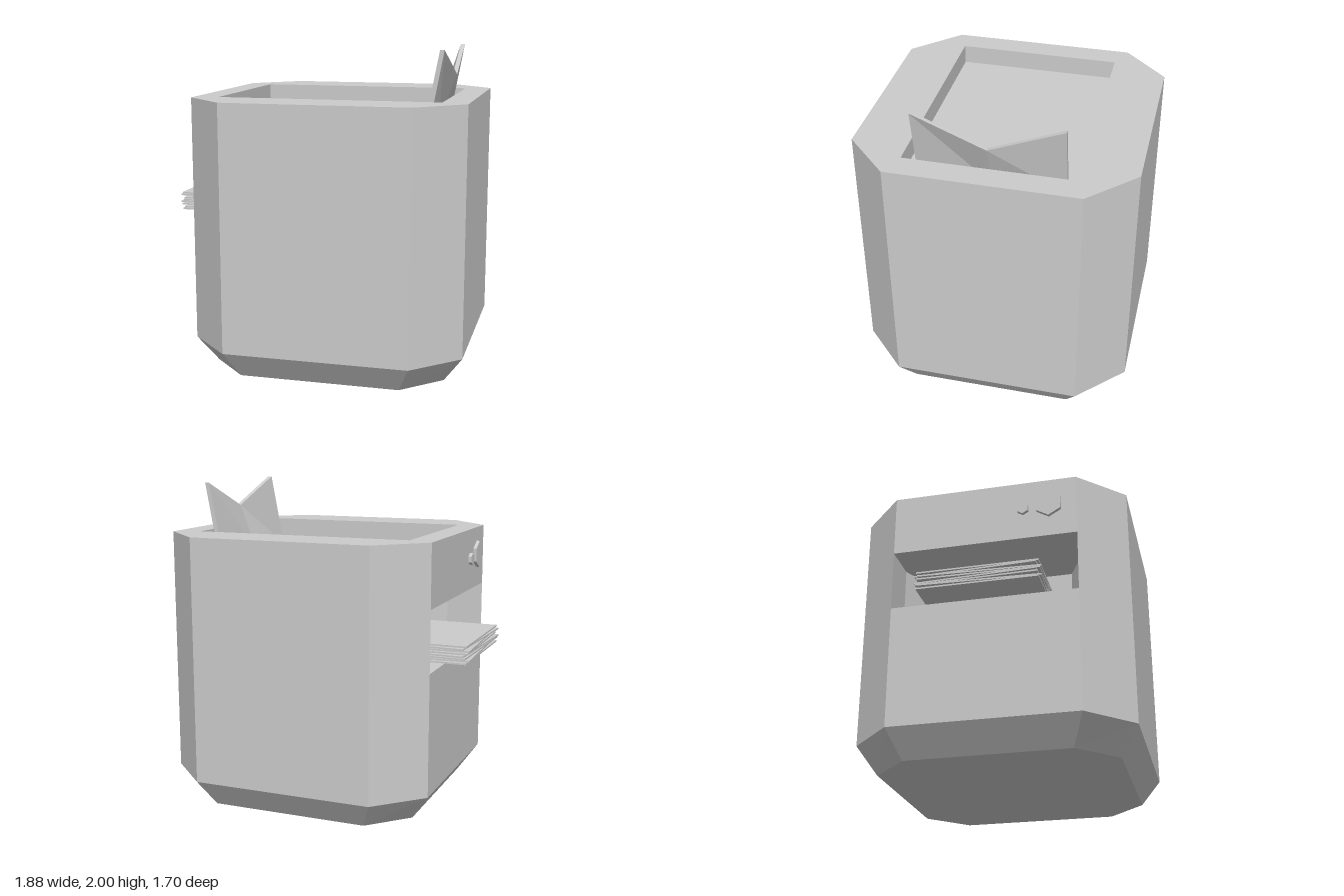
import * as THREE from 'three';

const material = new THREE.MeshStandardMaterial({ color: 0xcccccc, flatShading: true });

function add(group, name, geometry) {
  const mesh = new THREE.Mesh(geometry, material);
  mesh.name = name;
  group.add(mesh);
  return mesh;
}

// Closed solid from a stack of loops with equal point counts
function loft(loops) {
  const pos = [];
  const tri = (...pts) => pts.forEach((p) => pos.push(...p));
  const n = loops[0].length;
  for (let i = 0; i < loops.length - 1; i++) {
    for (let j = 0; j < n; j++) {
      const k = (j + 1) % n;
      const [a, b, c, d] = [loops[i][j], loops[i][k], loops[i + 1][k], loops[i + 1][j]];
      tri(a, b, c);
      tri(a, c, d);
    }
  }
  const first = loops[0], last = loops[loops.length - 1];
  for (let j = 1; j < n - 1; j++) {
    tri(first[0], first[j + 1], first[j]);
    tri(last[0], last[j], last[j + 1]);
  }
  const g = new THREE.BufferGeometry();
  g.setAttribute('position', new THREE.Float32BufferAttribute(pos, 3));
  g.computeVertexNormals();
  return g;
}

// Horizontal slab between two heights, outline given in plan
function slab(outline, y0, y1, hole) {
  const toVec = (pts) => pts.map(([x, z]) => new THREE.Vector2(x, z));
  const shape = new THREE.Shape(toVec(outline));
  if (hole) shape.holes.push(new THREE.Path(toVec(hole)));
  return new THREE.ExtrudeGeometry(shape, { depth: y1 - y0, bevelEnabled: false })
    .rotateX(-Math.PI / 2).translate(0, y0, 0);
}

const rect = (x0, x1, z) => [[x0, -z], [x1, -z], [x1, z], [x0, z]];

// Rectangle with cut corners; notch points are inserted in the -x side
const octagon = (x0, x1, cx0, cx1, z, cz, notch = []) => [
  [x1, -cz], [x1, cz], [cx1, z], [cx0, z], [x0, cz], ...notch, [x0, -cz], [cx0, -z], [cx1, -z],
];

export function createModel() {
  const model = new THREE.Group();
  model.name = 'printer';

  // Housing: tapered foot, lower block, block with the tray opening, top and rim
  const housing = new THREE.Group();
  housing.name = 'housing';
  model.add(housing);
  const plan = [-0.76, 0.94, -0.485, 0.66, 0.85, 0.575];
  const outer = octagon(...plan);
  const foot = octagon(-0.64, 0.82, -0.41, 0.585, 0.735, 0.5);
  const atHeight = (pts, y) => pts.map(([x, z]) => [x, y, -z]);
  const notch = [[-0.52, 0.575], [-0.25, 0.45], [-0.25, -0.45], [-0.52, -0.575]];
  add(housing, 'foot', loft([atHeight(foot, 0), atHeight(outer, 0.17)]));
  add(housing, 'lowerBody', slab(outer, 0.17, 0.93));
  add(housing, 'trayOpening', slab(octagon(...plan, notch), 0.93, 1.31));
  add(housing, 'upperBody', slab(outer, 1.31, 1.53, rect(0.3, 0.66, 0.44)));
  add(housing, 'rim', slab(outer, 1.53, 1.7, rect(-0.605, 0.78, 0.51)));

  // Sunken top with a V-shaped feed opening, and the slope below it
  add(housing, 'topPanel', slab(
    [[-0.605, -0.51], [0.66, -0.51], [0.4, 0], [0.66, 0.51], [-0.605, 0.51]], 1.53, 1.58));
  add(housing, 'feedSlope', loft([-0.44, 0.44].map((z) => [
    [0.3, 1.31, z], [0.66, 1.31, z], [0.66, 1.53, z]])));

  // Creased paper support with a V-shaped top edge
  const support = (z, xBottom, xTop, yTop) => [
    [xBottom, 1.53, z], [xBottom + 0.03, 1.53, z], [xTop + 0.027, yTop, z], [xTop, yTop, z]];
  add(model, 'paperSupport', loft([
    support(-0.445, 0.66, 0.75, 2), support(0, 0.65, 0.764, 1.83), support(0.445, 0.66, 0.75, 2)]));

  // Untidy stack of sheets sticking out of the opening
  const stack = new THREE.Group();
  stack.name = 'paperStack';
  model.add(stack);
  const turns = [0, 0.045, -0.02, -0.045, 0.02, 0.045, -0.045, 0];
  turns.forEach((turn, i) => {
    const sheet = add(stack, 'sheet', new THREE.BoxGeometry(0.61, 0.01, 0.74));
    sheet.position.set(-0.615, 0.958 + i * 0.0148, 0);
    sheet.rotation.y = turn;
  });

  // Hexagonal buttons above the opening
  for (const [name, r, y, z] of [['largeButton', 0.086, 1.525, 0.405], ['smallButton', 0.038, 1.51, 0.245]]) {
    const button = add(model, name, new THREE.CylinderGeometry(r, r, 0.04, 6).rotateZ(Math.PI / 2));
    button.geometry.rotateX(Math.PI / 2);
    button.position.set(-0.762, y, z);
  }

  return model;
}
